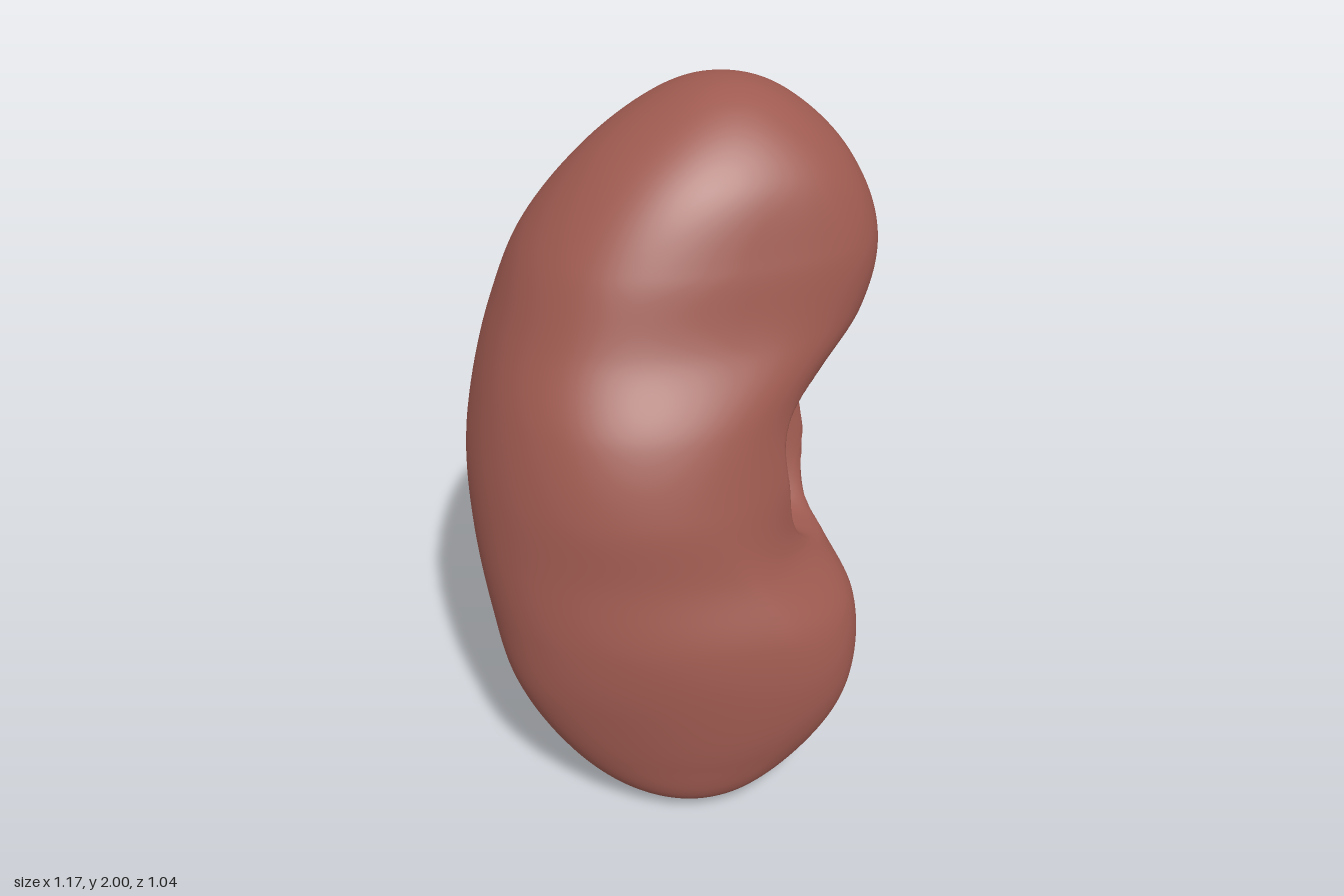
import * as THREE from 'three';

// Cross-section extremes by height:
// y, xMin, xMax, zMin, zMax, z of xMin, z of xMax, x of zMax, x of zMin
const SECTIONS = [
  [0, -0.07, -0.07, 0.25, 0.25, 0.25, 0.25, -0.07, -0.07],
  [0.05, -0.27, 0.13, 0.065, 0.42, 0.22, 0.25, -0.03, -0.07],
  [0.2, -0.43, 0.305, -0.08, 0.49, 0.17, 0.28, 0.08, -0.08],
  [0.4, -0.54, 0.41, -0.18, 0.52, 0.1, 0.29, 0.14, -0.1],
  [0.6, -0.575, 0.43, -0.27, 0.505, 0.04, 0.26, 0.1, -0.1],
  [0.8, -0.588, 0.365, -0.38, 0.44, -0.02, 0.13, 0, -0.12],
  [1.0, -0.575, 0.38, -0.455, 0.4, -0.08, 0.04, -0.08, -0.14],
  [1.2, -0.53, 0.37, -0.495, 0.34, -0.12, 0.01, -0.05, -0.14],
  [1.4, -0.46, 0.53, -0.515, 0.24, -0.16, 0.02, 0.07, -0.13],
  [1.6, -0.37, 0.585, -0.505, 0.19, -0.19, 0, 0.13, -0.06],
  [1.8, -0.2, 0.53, -0.45, 0.12, -0.2, -0.08, 0.2, 0.06],
  [1.95, 0.03, 0.39, -0.37, -0.03, -0.2, -0.18, 0.22, 0.18],
  [2, 0.22, 0.22, -0.2, -0.2, -0.2, -0.2, 0.22, 0.22],
];
const ANGLES = SECTIONS.map((s) => Math.acos(1 - s[0])); // pole-to-pole angle, rounds the ends

// Smooth (Hermite) interpolation of one column at a pole-to-pole angle
function sample(col, phi) {
  const last = SECTIONS.length - 1;
  let k = 0;
  while (k < last - 1 && phi > ANGLES[k + 1]) k++;
  const slope = (i) => {
    const a = Math.max(i - 1, 0), b = Math.min(i + 1, last);
    return (SECTIONS[b][col] - SECTIONS[a][col]) / (ANGLES[b] - ANGLES[a]);
  };
  const h = ANGLES[k + 1] - ANGLES[k];
  const t = (phi - ANGLES[k]) / h, t2 = t * t, t3 = t2 * t;
  return (2 * t3 - 3 * t2 + 1) * SECTIONS[k][col] + (t3 - 2 * t2 + t) * h * slope(k)
    + (3 * t2 - 2 * t3) * SECTIONS[k + 1][col] + (t3 - t2) * h * slope(k + 1);
}

// How far each corner of a cross-section swells (+) or flattens (-)
function cornerFullness(y, right, front) {
  const swell = (amount, centre, width) => amount * Math.exp(-(((y - centre) / width) ** 2));
  if (front && right) return swell(0.03, 1.55, 0.3) + swell(0.02, 0.3, 0.2) + swell(-0.025, 0.8, 0.15);
  if (front) return swell(0.025, 1.5, 0.45) + swell(-0.03, 0.25, 0.25);
  if (right) return swell(0.05, 1.1, 0.2) + swell(-0.06, 0.45, 0.35) + swell(-0.045, 1.7, 0.2);
  return swell(0.04, 1, 0.6);
}

// Hollow of the inner edge: pushes points inside a leaning oval inwards
function carveHollow(p) {
  if (p.x < 0) return;
  const dy = Math.abs(p.y - 1.01) / 0.25;
  const dz = Math.abs(p.z - 0.175 + 0.15 * (p.y - 1.01)) / 0.14;
  const r = Math.pow(dy ** 2.5 + dz ** 2.5, 0.4);
  const depth = 1 - THREE.MathUtils.smoothstep(r, 0.5, 1.03);
  p.x -= 0.24 * depth;
  p.z -= 0.05 * depth;
}

function bodyGeometry(rows = 200, cols = 200) {
  const positions = [], index = [];
  const p = new THREE.Vector3();
  for (let i = 0; i <= rows; i++) {
    const phi = (Math.PI * i) / rows;
    const y = 1 - Math.cos(phi);
    const [xMin, xMax, zMin, zMax, zL, zR, xF, xB] = [1, 2, 3, 4, 5, 6, 7, 8].map((c) => sample(c, phi));
    for (let j = 0; j < cols; j++) {
      // More points around the hollow
      const u = (2 * Math.PI * j) / cols;
      const t = u - 0.6 * Math.sin(u - 0.45);
      const c = Math.cos(t), s = Math.sin(t);
      // Quarter ellipses between the four extremes, fuller or flatter at the corners
      const x0 = s > 0 ? xF : xB, z0 = c > 0 ? zR : zL;
      const corner = cornerFullness(y, c > 0, s > 0) * Math.sin(phi) * Math.SQRT1_2 * (2 * c * s) ** 2;
      p.set(
        x0 + (c > 0 ? xMax - x0 : x0 - xMin) * c + corner * Math.sign(c),
        y,
        z0 + (s > 0 ? zMax - z0 : z0 - zMin) * s + corner * Math.sign(s),
      );
      carveHollow(p);
      positions.push(p.x, p.y, p.z);
      if (i === rows) continue;
      const a = i * cols + j, b = i * cols + ((j + 1) % cols);
      if (i < rows - 1) index.push(a, a + cols, b + cols);
      if (i > 0) index.push(a, b + cols, b);
    }
  }
  const geometry = new THREE.BufferGeometry();
  geometry.setAttribute('position', new THREE.Float32BufferAttribute(positions, 3));
  geometry.setIndex(index);
  geometry.computeVertexNormals();
  return geometry;
}

export function createModel() {
  const group = new THREE.Group();
  group.name = 'kidney';
  const flesh = new THREE.MeshStandardMaterial({ color: 0x9e5a50 });
  flesh.name = 'reddish brown';
  const body = new THREE.Mesh(bodyGeometry(), flesh);
  body.name = 'kidneyBody';
  group.add(body);
  return group;
}
